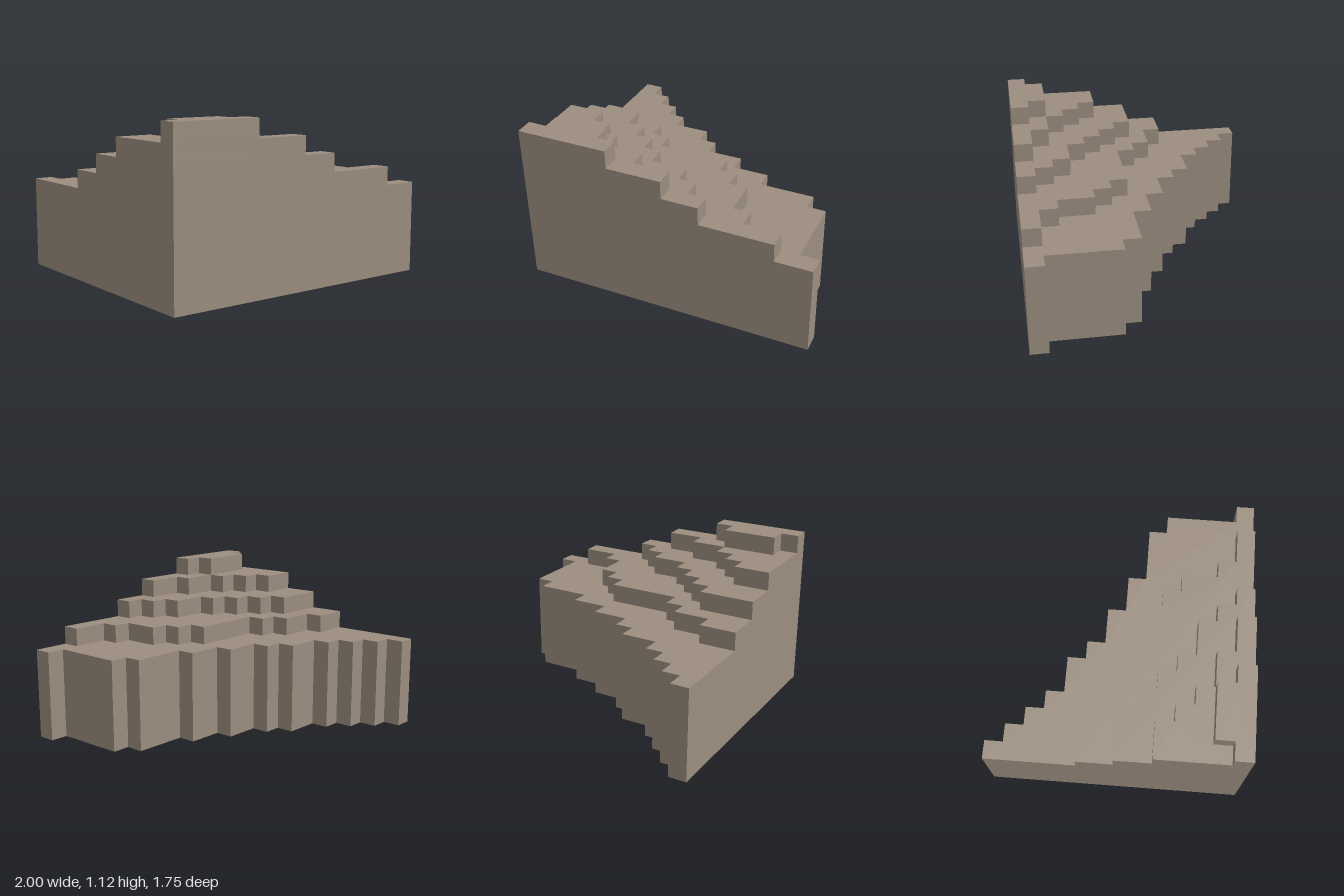
import * as THREE from 'three';

const CELL = 0.125;
const FRONT = 0.875;

// Each tier: bottom and top height, rear edge z, and the right edge x of every
// cell-deep row from the rear to the front. `left` lists left edges that differ from -1.
const TIERS = [
  { name: 'baseTier', y0: 0, y1: 0.625, back: -0.875,
    right: [-0.875, -0.75, -0.625, -0.5, -0.25, -0.125, 0.125, 0.375, 0.75, 0.875, 0.875, 0.875, 0.875, 1] },
  { name: 'secondTier', y0: 0.625, y1: 0.75, back: -0.25,
    right: [-0.75, -0.5, -0.375, 0.125, 0.25, 0.375, 0.375, 0.5, 0.75] },
  { name: 'thirdTier', y0: 0.75, y1: 0.875, back: 0,
    right: [-0.625, -0.5, -0.375, -0.25, 0, 0.125, 0.25] },
  { name: 'fourthTier', y0: 0.875, y1: 1, back: 0.25,
    right: [-0.75, -0.625, -0.5, -0.25, 0] },
  { name: 'topTier', y0: 1, y1: 1.125, back: 0.625,
    right: [-0.5, -0.375], left: [-0.875, -1] },
];

// Stepped outline, drawn with shape y = -z
function tierShape({ back, right, left }) {
  const points = [];
  const add = (x, z) => {
    const n = points.length;
    // merge straight runs so that walls stay single faces
    if (n > 1 && points[n - 1].x === x && points[n - 2].x === x) points.pop();
    points.push(new THREE.Vector2(x, -z));
  };
  right.forEach((x, i) => {
    add(x, back + i * CELL);
    add(x, back + (i + 1) * CELL);
  });
  // remove the doubled points left by rows of equal width
  const outline = points.filter((p, i) => i === 0 || !p.equals(points[i - 1]));
  const lefts = left ?? [-1];
  const depth = (FRONT - back) / lefts.length;
  for (let i = lefts.length - 1; i >= 0; i--) {
    outline.push(new THREE.Vector2(lefts[i], -(back + (i + 1) * depth)));
    outline.push(new THREE.Vector2(lefts[i], -(back + i * depth)));
  }
  return new THREE.Shape(outline);
}

export function createModel() {
  const model = new THREE.Group();
  model.name = 'steppedTerrain';
  const stone = new THREE.MeshStandardMaterial({ color: 0x9c8e80 });
  stone.name = 'stone';

  // Stacked terraces
  for (const tier of TIERS) {
    const geometry = new THREE.ExtrudeGeometry(tierShape(tier), {
      depth: tier.y1 - tier.y0, bevelEnabled: false,
    });
    geometry.rotateX(-Math.PI / 2);
    const mesh = new THREE.Mesh(geometry, stone);
    mesh.name = tier.name;
    mesh.position.y = tier.y0;
    model.add(mesh);
  }
  return model;
}
